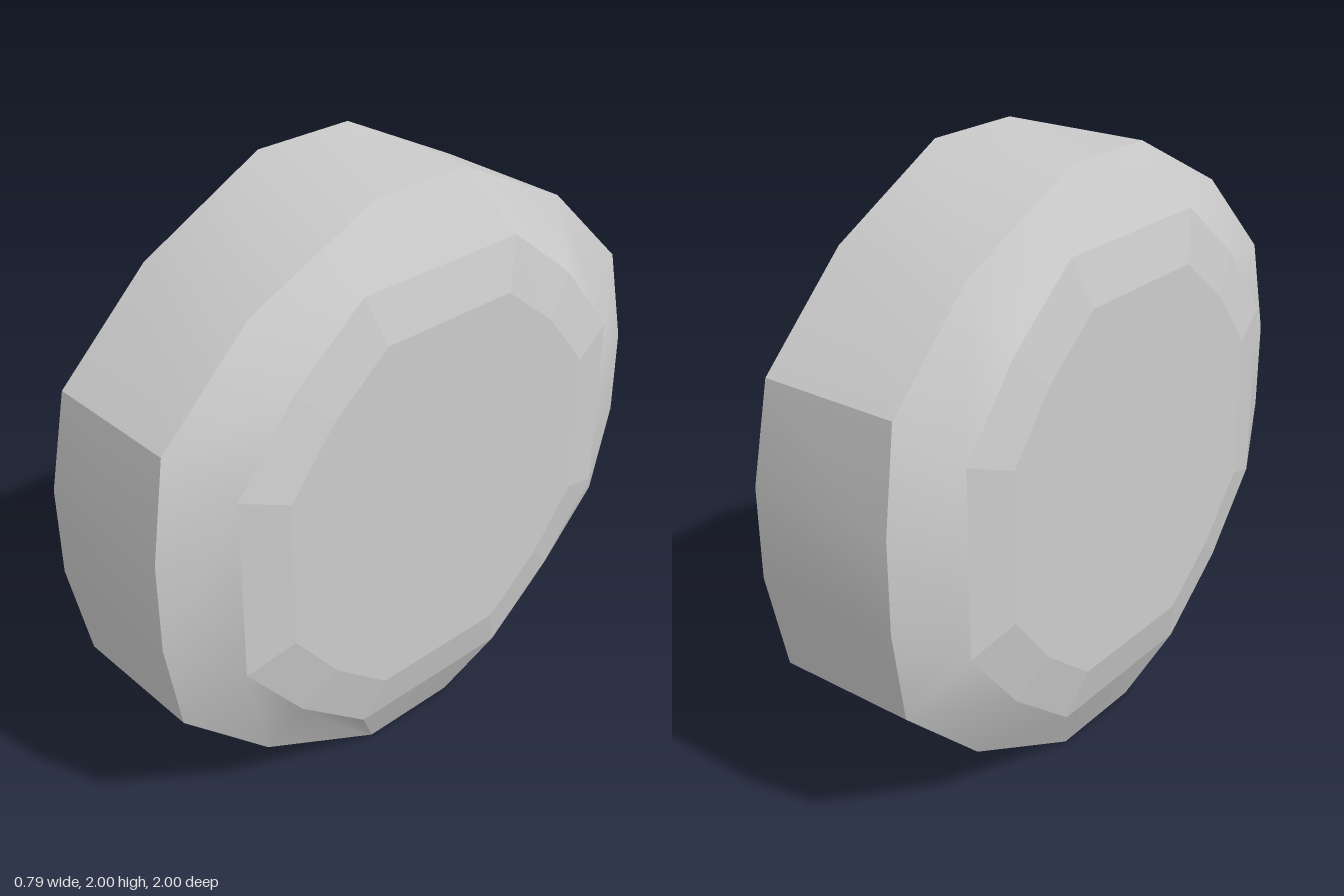
import * as THREE from 'three';
import { toCreasedNormals } from 'three/addons/utils/BufferGeometryUtils.js';

// Quarter outlines as [x, y, z], from the z axis up to the y axis
const RIM = [[0.255, 0.15, 1], [0.24, 0.475, 0.94], [0.24, 0.78, 0.625], [0.255, 1, 0.18]];
const SHOULDER = [[0.355, 0.31, 0.78], [0.355, 0.31, 0.78], [0.355, 0.57, 0.57], [0.355, 0.78, 0.31]];
const FACE = [[0.393, 0.25, 0.62], [0.393, 0.25, 0.62], [0.393, 0.455, 0.455], [0.393, 0.62, 0.25]];

// Mirrors a quarter outline into a closed loop on one side (+1 or -1)
function loop(quarter, side) {
  const pts = [];
  for (const [sy, sz] of [[1, 1], [1, -1], [-1, -1], [-1, 1]]) {
    const q = sy * sz > 0 ? quarter : [...quarter].reverse();
    for (const [x, y, z] of q) pts.push(new THREE.Vector3(x * side, 1 + y * sy, z * sz));
  }
  return pts;
}

// Joins two loops with a band of triangles, skipping collapsed ones
function band(a, b, flip) {
  const pos = [];
  const tri = (p, q, r) => {
    if (p.equals(q) || q.equals(r) || p.equals(r)) return;
    for (const v of flip ? [p, r, q] : [p, q, r]) pos.push(v.x, v.y, v.z);
  };
  a.forEach((p, i) => {
    const j = (i + 1) % a.length;
    tri(p, b[i], b[j]);
    tri(p, b[j], a[j]);
  });
  const g = new THREE.BufferGeometry();
  g.setAttribute('position', new THREE.Float32BufferAttribute(pos, 3));
  g.computeVertexNormals();
  return g;
}

export function createModel() {
  const group = new THREE.Group();
  group.name = 'wheel';
  const material = new THREE.MeshStandardMaterial({ color: 0xcccccc });
  const add = (name, geometry) => {
    const mesh = new THREE.Mesh(geometry, material);
    mesh.name = name;
    group.add(mesh);
  };

  // Tread around the outside
  add('tread', toCreasedNormals(band(loop(RIM, 1), loop(RIM, -1), true), Math.PI / 6));

  for (const side of [1, -1]) {
    const label = side > 0 ? 'left' : 'right';
    const rim = loop(RIM, side), shoulder = loop(SHOULDER, side), face = loop(FACE, side);
    const centre = face.map(() => new THREE.Vector3(0.393 * side, 1, 0));
    // Sloping sidewall, faceted bevel and flat hub face
    add(label + 'Sidewall', toCreasedNormals(band(rim, shoulder, side < 0), Math.PI / 6));
    add(label + 'Bevel', band(shoulder, face, side < 0));
    add(label + 'HubFace', band(face, centre, side < 0));
  }
  return group;
}
